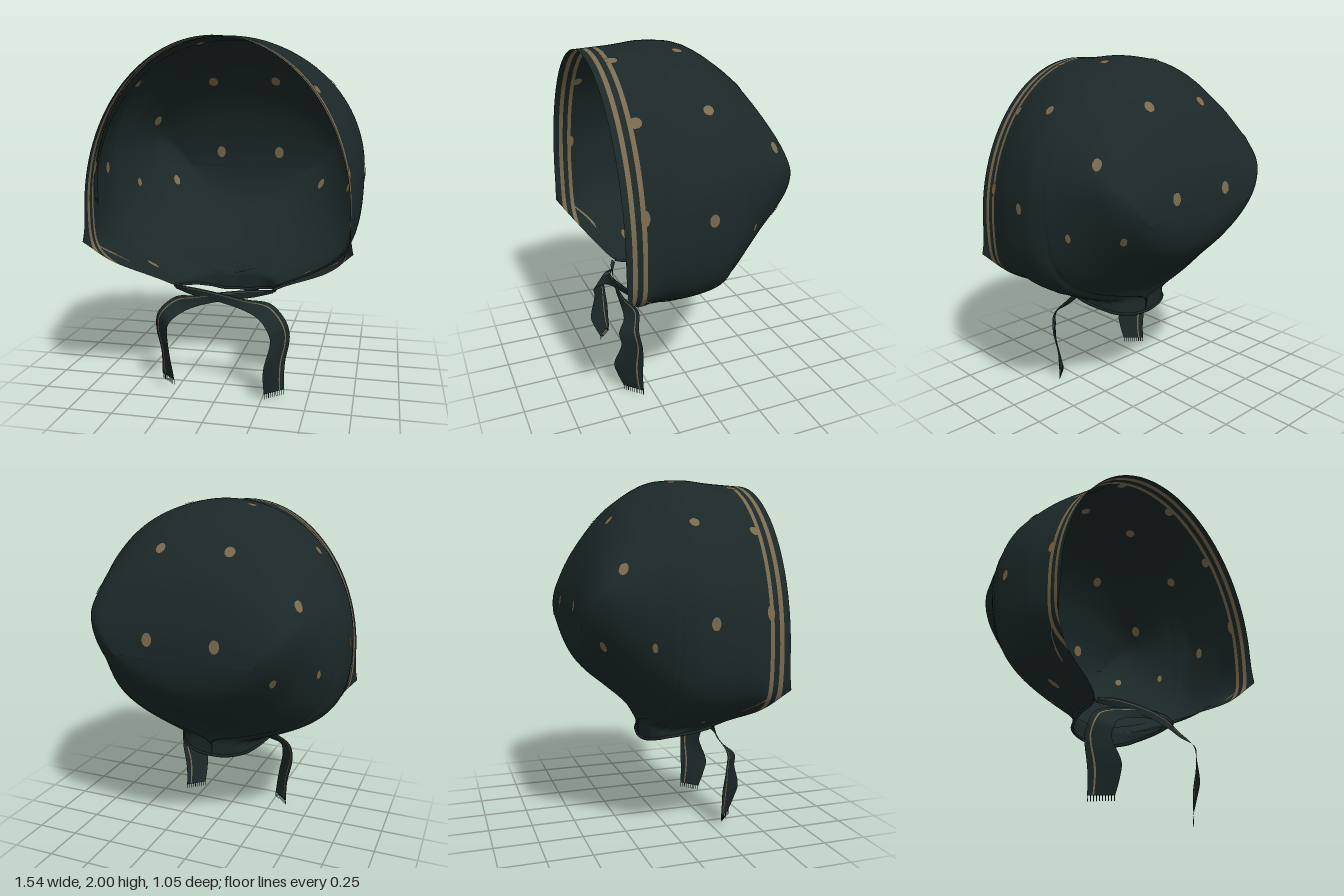
import * as THREE from 'three';
import { mergeVertices } from 'three/addons/utils/BufferGeometryUtils.js';

const mat = (name, color) => {
  const m = new THREE.MeshStandardMaterial({ color, side: THREE.DoubleSide });
  m.name = name;
  return m;
};

// Hood sections from front rim to back ridge:
// z, crown height, height of widest point, half width, lower edge x, lower edge y,
// height of the lower bend, sharpness of that bend, depth of the neck flare
const STATIONS = [
  [0.52, 1.975, 1.05, 0.72, 0.738, 0.875, 0.95, 1, 0],
  [0.42, 1.98, 1.08, 0.715, 0.6, 0.745, 0.82, 2, 0],
  [0.32, 1.985, 1.14, 0.735, 0.37, 0.635, 0.8, 2, 0],
  [0.26, 1.99, 1.18, 0.75, 0.29, 0.585, 0.79, 2, 0.02],
  [0.15, 2.0, 1.22, 0.762, 0.28, 0.56, 0.78, 2, 0.03],
  [0, 1.99, 1.26, 0.765, 0.23, 0.53, 0.78, 1.9, 0.06],
  [-0.07, 1.97, 1.27, 0.745, 0.15, 0.505, 0.77, 1.7, 0.09],
  [-0.095, 1.957, 1.28, 0.735, 0, 0.49, 0.76, 1.6, 0.1],
  [-0.115, 1.947, 1.28, 0.73, 0, 0.6, 0.76, 1.5, 0],
  [-0.18, 1.905, 1.3, 0.7, 0, 0.7, 0.76, 1.2, 0],
  [-0.29, 1.815, 1.34, 0.655, 0, 0.8, 0.82, 0.9, 0],
  [-0.42, 1.63, 1.37, 0.6, 0, 0.91, 0.92, 0.7, 0],
  [-0.49, 1.45, 1.34, 0.53, 0, 1.0, 1.01, 0.7, 0],
  [-0.52, 1.31, 1.28, 0.46, 0, 1.1, 1.1, 0.7, 0],
  [-0.527, 1.2, 1.2, 0.4, 0, 1.2, 1.2, 0.7, 0],
];
const LAST = STATIONS.length - 1;
const STRIPES = [[0.485, 0.46], [0.43, 0.406]];

// Smooth curve through the rows of a table, with tangents scaled by row spacing
function sample(rows, k) {
  const n = rows.length - 1;
  const i = Math.min(Math.floor(k), n - 1), t = k - i;
  const row = j => rows[Math.max(0, Math.min(n, j))];
  const span = j => Math.hypot(row(j + 1)[0] - row(j)[0], row(j + 1)[1] - row(j)[1]);
  const len = span(i), before = len / (len + span(i - 1)), after = len / (len + span(i + 1));
  return rows[0].map((_, c) => {
    const a = row(i)[c], b = row(i + 1)[c];
    const m0 = (b - row(i - 1)[c]) * before, m1 = (row(i + 2)[c] - a) * after;
    const s = t * t * (3 - 2 * t);
    return a + (b - a) * s + m0 * t * (1 - t) * (1 - t) - m1 * t * t * (1 - t);
  });
}

// Point on the hood: s runs -1..1 over the crown, k runs front to back
function hoodPoint(s, k) {
  const [z, top, mid, w, edgeX, ey, bendY, bend, flareRaw] = sample(STATIONS, k);
  const side = Math.sign(s), a = Math.abs(s);
  if (a <= 0.5) {
    return new THREE.Vector3(side * w * Math.sin(a * Math.PI), mid + (top - mid) * Math.cos(a * Math.PI), z);
  }
  const ex = Math.max(0, edgeX), flare = Math.max(0, flareRaw);
  const q = Math.min(2 * a - 1, 1), drop = flare * 1.7;
  const t = Math.min(q / (1 - drop), 1), u = 1 - t;
  const b0 = u * u, b1 = 2 * bend * u * t, b2 = t * t, sum = b0 + b1 + b2;
  const fall = drop > 0 ? flare * Math.max(0, (q - 1 + drop) / drop) : 0;
  return new THREE.Vector3(
    side * (b0 * w + b1 * w + b2 * ex) / sum,
    (b0 * mid + b1 * bendY + b2 * (ey + flare)) / sum - fall, z);
}

function stationAt(z) {
  let lo = 0, hi = LAST;
  for (let i = 0; i < 30; i++) {
    const m = (lo + hi) / 2;
    if (sample(STATIONS, m)[0] > z) lo = m; else hi = m;
  }
  return lo;
}

// Triangulated grid of points; pick(r) gives the material index of a row
function gridGeometry(rows, pick = () => 0) {
  const cols = rows[0].length, pos = [], index = [];
  rows.forEach(r => r.forEach(p => pos.push(p.x, p.y, p.z)));
  let geo = new THREE.BufferGeometry();
  for (let r = 0; r < rows.length - 1; r++) {
    geo.addGroup(index.length, (cols - 1) * 6, pick(r));
    for (let c = 0; c < cols - 1; c++) {
      const a = r * cols + c, b = a + cols;
      index.push(a, a + 1, b, b, a + 1, b + 1);
    }
  }
  geo.setAttribute('position', new THREE.Float32BufferAttribute(pos, 3));
  geo.setIndex(index);
  geo = mergeVertices(geo, 1e-4);
  geo.computeVertexNormals();
  return geo;
}

export function createModel() {
  const cloth = mat('dark cloth', 0x1c2828);
  const gold = mat('dull gold', 0x7a6a4e);
  const model = new THREE.Group();
  model.name = 'bonnet';
  const add = (name, geo, material, parent = model) => {
    const m = new THREE.Mesh(geo, material);
    m.name = name;
    parent.add(m);
    return m;
  };

  // Hood with two stripes woven along the front rim
  const ks = STRIPES.flat().map(stationAt);
  for (let i = 0; i <= LAST * 6; i++) ks.push(i / 6);
  ks.sort((a, b) => a - b);
  const rows = ks.map(k => Array.from({ length: 121 }, (_, c) => hoodPoint(c / 60 - 1, k)));
  const inStripe = r => {
    const z = (rows[r][60].z + rows[r + 1][60].z) / 2;
    return STRIPES.some(([a, b]) => z < a && z > b) ? 1 : 0;
  };
  add('hood', gridGeometry(rows, inStripe), [cloth, gold]);

  // Rolled hem round the neck
  const hem = [];
  for (let k = 3; k <= 7; k += 0.5) hem.push(hoodPoint(1, k));
  for (let k = 6.5; k >= 3; k -= 0.5) hem.push(hoodPoint(-1, k));
  add('neckHem', new THREE.TubeGeometry(new THREE.CatmullRomCurve3(hem), 80, 0.009, 6), cloth);

  // Inner stripe bending back along the lower edge, on both faces of the cloth
  for (const side of [-1, 1]) {
    for (const lift of [-0.004, 0.004]) {
      const strip = [];
      for (let i = 0; i <= 12; i++) {
        const f = i / 12, k = stationAt(0.418 - 0.11 * f);
        strip.push([-0.014, 0.014].map(d => {
          const p = hoodPoint(side * (0.78 + 0.12 * f + d), k);
          return p.add(new THREE.Vector3(side * lift * 0.6, -lift * 0.8, 0));
        }));
      }
      add('edgeStripe', gridGeometry(strip), gold);
    }
  }

  // Printed spots, laid on both faces of the cloth: x, y, z, width, height
  const spots = new THREE.Group();
  spots.name = 'spots';
  model.add(spots);
  const spotList = [
    [0.2, 1.78, -0.335, 1, 1.1], [0.6, 1.53, -0.36, 0.9, 1.2], [0.2, 1.98, 0.04, 1, 1],
    [0.59, 1.75, 0.03, 1, 1], [0.19, 1.95, 0.4, 1.2, 1], [0.54, 1.73, 0.4, 1.1, 1],
    [0.71, 1.27, 0.41, 0.8, 1.4], [0.76, 1.25, 0.08, 0.9, 1.2], [0.2, 1.3, -0.52, 1, 1.3],
    [0.47, 1.12, -0.42, 0.7, 1.2], [0.68, 1.12, -0.22, 0.5, 0.9], [0.48, 0.66, 0.13, 0.6, 1.4],
  ];
  const disc = new THREE.CircleGeometry(0.029, 14);
  for (const [x, y, z, sx, sy] of spotList) {
    for (const side of [-1, 1]) {
      // Nearest point of the hood
      const goal = new THREE.Vector3(side * x, y, z);
      let best = [Infinity, 0, 0];
      for (let k = 0.2; k < LAST - 0.2; k += 0.05) {
        for (let a = 0.02; a < 0.97; a += 0.01) {
          const d = hoodPoint(side * a, k).distanceToSquared(goal);
          if (d < best[0]) best = [d, side * a, k];
        }
      }
      const [, s, k] = best, p = hoodPoint(s, k), e = 0.02;
      const across = hoodPoint(s + e, k).sub(hoodPoint(s - e, k));
      const along = hoodPoint(s, k + e).sub(hoodPoint(s, k - e));
      const normal = across.cross(along).normalize();
      for (const lift of [-0.004, 0.004]) {
        const m = add('spot', disc, gold, spots);
        m.position.copy(p).addScaledVector(normal, lift);
        m.lookAt(p.clone().addScaledVector(normal, lift < 0 ? -1 : 1));
        m.scale.set(sx, sy, 1);
      }
    }
  }

  // Tie ribbons: centre x, y, z and half-width vector x, y, z
  const TIE = [
    [-0.285, 0.58, 0.265, 0, 0.012, 0.01],
    [-0.18, 0.575, 0.31, 0, 0.024, 0.006],
    [0, 0.555, 0.345, 0.004, 0.026, 0],
    [0.14, 0.525, 0.35, 0.012, 0.028, -0.008],
    [0.25, 0.49, 0.335, 0.03, 0.035, -0.035],
    [0.325, 0.425, 0.375, 0.045, 0.02, -0.045],
    [0.345, 0.34, 0.365, 0.048, 0.005, -0.048],
    [0.318, 0.2, 0.38, 0.05, 0, -0.072],
    [0.312, 0.12, 0.37, 0.05, 0, -0.062],
    [0.312, 0.028, 0.35, 0.05, 0, -0.046],
  ];
  const bands = [[-1, 0.5, cloth], [0.5, 0.62, gold], [0.62, 1, cloth]];
  for (const side of [-1, 1]) {
    const tie = new THREE.Group();
    tie.name = side > 0 ? 'leftTie' : 'rightTie';
    model.add(tie);
    const shift = side > 0 ? 0.008 : -0.008;
    const end = TIE.length - 1;
    const at = (k, f) => {
      const [x, y, z, wx, wy, wz] = sample(TIE, k);
      const shorter = side < 0 ? 0.03 * Math.pow(k / end, 4) : 0;
      return new THREE.Vector3(side * (x + f * wx), y + f * wy + shorter, z + f * wz + shift);
    };
    for (const [f0, f1, material] of bands) {
      const strip = [];
      for (let i = 0; i <= 60; i++) {
        strip.push([0, 1, 2, 3].map(j => at(i / 60 * end, f0 + (f1 - f0) * j / 3)));
      }
      add(material === gold ? 'tieStripe' : 'tieRibbon', gridGeometry(strip), material, tie);
    }
    // Frayed threads at the end
    for (let i = 0; i < 10; i++) {
      const thread = add('fringe', new THREE.BoxGeometry(0.003, 0.03, 0.003), cloth, tie);
      thread.position.copy(at(end, -0.95 + i * 0.211));
      thread.position.y -= 0.013;
    }
  }
  return model;
}
